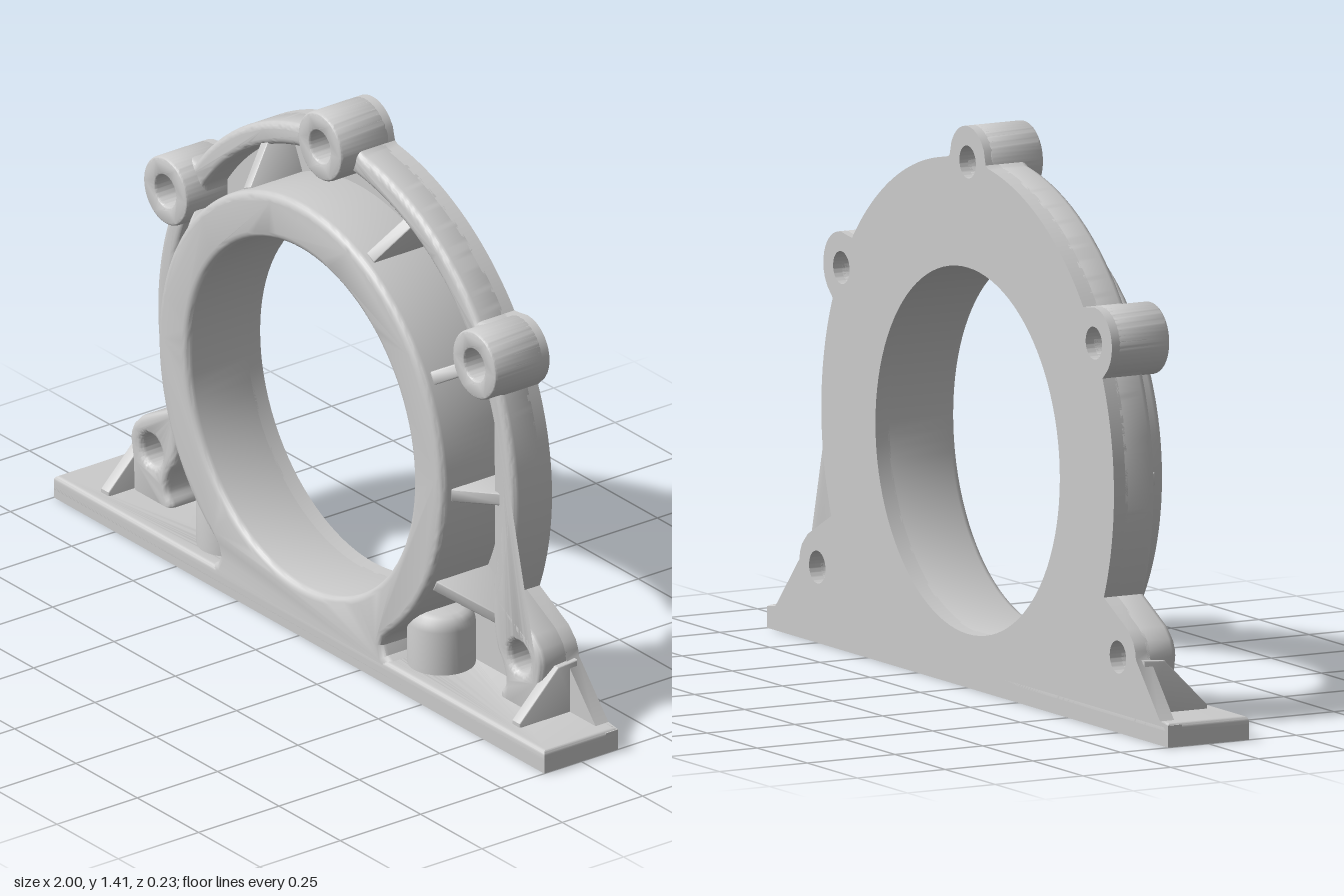
import * as THREE from 'three';
import { toCreasedNormals } from 'three/addons/utils/BufferGeometryUtils.js';

const CY = 0.595;                 // height of the bore centre
const BORE = 0.46, BACK = -0.115, FLOOR = -0.075;
const BOSS_R = 0.09, HOLE_R = 0.041;
const rad = THREE.MathUtils.degToRad;
const highBosses = [[0, 1.32], [0.63, 0.96], [-0.63, 0.96]];
const ears = [[0.75, 0.19], [-0.75, 0.19]];
const bosses = [...highBosses, ...ears];

const polar = (r, a) => new THREE.Vector2(r * Math.cos(a), CY + r * Math.sin(a));
const toPoints = (list) => list.map(([x, y]) => new THREE.Vector2(x, y));
const mirrored = (pts) => pts.map((p) => new THREE.Vector2(-p.x, p.y)).reverse();

function circleHole(x, y, r) {
  return new THREE.Path().absarc(x, y, r, 0, Math.PI * 2, true);
}

// Points swept round the bore centre with a radius given by a rule
function sweep(from, to, n, radius) {
  return Array.from({ length: n + 1 }, (_, i) => {
    const a = rad(from + (to - from) * i / n);
    return polar(radius(a), a);
  });
}

// Distance at which a ray from the bore centre enters (-1) or leaves (+1) a boss
function rayHit([x, y], a, side) {
  const d = Math.hypot(x, y - CY), off = a - Math.atan2(y - CY, x);
  const h = BOSS_R ** 2 - (d * Math.sin(off)) ** 2;
  return h < 0 || Math.cos(off) < 0 ? null : d * Math.cos(off) + side * Math.sqrt(h);
}
const outerRadius = (a) => Math.max(0.73, ...bosses.map((b) => rayHit(b, a, 1) ?? 0));
const innerRadius = (a) => Math.min(0.67, ...highBosses.map((b) => rayHit(b, a, -1) ?? 9));

// Extrusion from z0 to z1 with an optional rounded edge kept inside the outline
function slab(shape, z0, z1, round = 0) {
  const geo = new THREE.ExtrudeGeometry(shape, {
    depth: z1 - z0 - 2 * round, curveSegments: 48, bevelEnabled: round > 0,
    bevelSize: round, bevelThickness: round, bevelOffset: -round, bevelSegments: 4,
  });
  geo.translate(0, 0, z0 + round);
  return toCreasedNormals(geo, 0.6);
}

export function createModel() {
  const model = new THREE.Group();
  const material = new THREE.MeshStandardMaterial({ color: 0xcccccc });
  const add = (name, geo) => {
    const mesh = new THREE.Mesh(geo, material);
    mesh.name = name;
    model.add(mesh);
    return mesh;
  };

  // Outer contour, running over the top from one ear to the other
  const contour = sweep(-25.4, 205.4, 230, outerRadius);

  // Back plate with sloping wings down to the base
  const wing = toPoints([[-0.96, 0.06], [-1, 0.055], [-1, 0]]);
  const plate = new THREE.Shape([...contour, ...wing, ...mirrored(wing)]);
  plate.holes.push(circleHole(0, CY, BORE));
  bosses.forEach(([x, y]) => plate.holes.push(circleHole(x, y, HOLE_R)));
  add('backPlate', slab(plate, BACK, FLOOR));

  // Raised rim that widens round the bosses and ends in the ears
  const earInside = new THREE.SplineCurve(toPoints([
    [0.69, 0.03], [0.67, 0.065], [0.69, 0.1], [0.68, 0.145], [0.65, 0.2], [0.64, 0.29], [0.643, 0.38],
  ])).getPoints(24);
  const inside = [...earInside, ...sweep(-15, 195, 180, innerRadius), ...mirrored(earInside)];
  const rim = new THREE.Shape([
    ...contour, ...toPoints([[-0.83, 0.14], [-0.825, 0.03]]),
    ...inside.reverse(), ...toPoints([[0.825, 0.03], [0.83, 0.14]]),
  ]);
  bosses.forEach(([x, y]) => rim.holes.push(circleHole(x, y, HOLE_R)));
  add('rim', slab(rim, -0.1, 0.005, 0.018));

  // Tall screw bosses
  for (const [x, y] of highBosses) {
    const boss = new THREE.Shape().absarc(x, y, BOSS_R, 0, Math.PI * 2, false);
    boss.holes.push(circleHole(x, y, HOLE_R));
    add('screwBoss', slab(boss, -0.1, 0.052, 0.009));
  }

  // Seal ring that flows into a foot on the base
  const foot = toPoints([[-0.338, 0.118], [-0.33, 0.095], [-0.342, 0.07], [-0.37, 0.055], [-0.37, 0]]);
  const ring = new THREE.Shape([
    ...sweep(-51.6, 231.6, 140, () => 0.582), ...foot, ...mirrored(foot),
  ]);
  ring.holes.push(circleHole(0, CY, BORE));
  add('sealRing', slab(ring, -0.1, 0.115, 0.02));

  // Base flange with two dowel holes, rounded along its top edge
  const flange = new THREE.Shape(toPoints([[-1, BACK], [1, BACK], [1, 0.115], [-1, 0.115]]));
  for (const s of [-1, 1]) flange.holes.push(circleHole(s * 0.43, 0, 0.07));
  add('baseFlange', slab(flange, 0, 0.04).rotateX(-Math.PI / 2));
  add('baseFlangeTop', slab(flange, 0.01, 0.06, 0.012).rotateX(-Math.PI / 2));

  // Hollow dowel bosses standing on the flange
  const dowel = new THREE.LatheGeometry(toPoints([
    [0, 0.17], [0.07, 0.17], [0.07, 0.002], [0.085, 0.02], [0.085, 0.175],
    [0.081, 0.194], [0.07, 0.207], [0.055, 0.212], [0, 0.212],
  ]), 48);
  for (const s of [-1, 1]) {
    add('dowelBoss', toCreasedNormals(dowel, 0.6)).position.x = s * 0.43;
  }

  // Sloping ribs between ring and rim
  const ribAngles = [[0, 0.69], [30, 0.67], [64.5, 0.69], [-28, 0.73]];
  for (const [angle, end] of ribAngles) {
    const rib = new THREE.Shape(toPoints([
      [0.55, -0.1], [end, -0.1], [end, -0.01], [0.585, 0.085], [0.55, 0.085],
    ]));
    for (const a of [angle, 180 - angle]) {
      const geo = slab(rib, -0.017, 0.017, 0.004).rotateX(Math.PI / 2);
      add('rib', geo.rotateZ(rad(a))).position.y = CY;
    }
  }

  // Triangular gussets beside the ears
  const gusset = new THREE.Shape(toPoints([
    [-0.08, 0.04], [-0.08, 0.07], [0.04, 0.19], [0.1, 0.195], [0.1, 0.04],
  ]));
  for (const s of [-1, 1]) {
    add('gusset', slab(gusset, -0.017, 0.017, 0.004).rotateY(Math.PI / 2)).position.x = s * 0.838;
  }

  return model;
}
